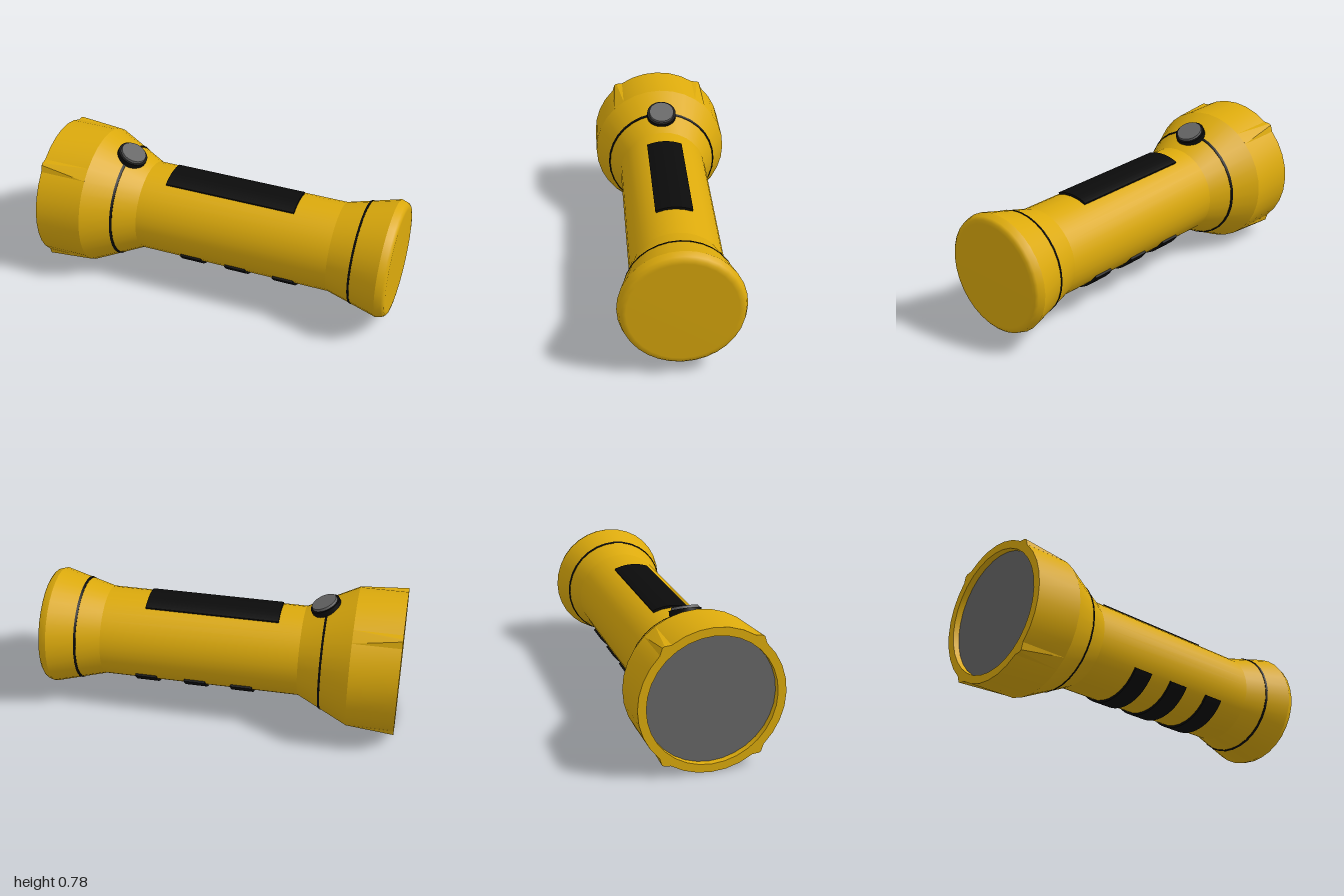
import * as THREE from 'three';
import { toCreasedNormals } from 'three/addons/utils/BufferGeometryUtils.js';
import { ConvexGeometry } from 'three/addons/geometries/ConvexGeometry.js';

const AXIS_Y = 0.39;
const SIDES = 32;
const yellow = new THREE.MeshStandardMaterial({ color: 0xdcaa0c });
const black = new THREE.MeshStandardMaterial({ color: 0x0b0b0b });
const grey = new THREE.MeshStandardMaterial({ color: 0x666666 });

// Revolves [x, radius] pairs around the long axis
function turned(profile) {
  const geo = new THREE.LatheGeometry(profile.map(([x, r]) => new THREE.Vector2(r, x)), SIDES);
  return geo.rotateZ(-Math.PI / 2);
}

// Curved pad hugging the barrel, centred on an angle in the cross-section
function gripPad(x0, x1, centre, half) {
  const shape = new THREE.Shape();
  shape.absarc(0, 0, 0.264, centre - half, centre + half, false);
  shape.absarc(0, 0, 0.235, centre + half, centre - half, true);
  const geo = new THREE.ExtrudeGeometry(shape, { depth: x1 - x0, bevelEnabled: false, curveSegments: 14 });
  return toCreasedNormals(geo.rotateY(Math.PI / 2).translate(x0, 0, 0), 0.5);
}

export function createModel() {
  const model = new THREE.Group();
  model.name = 'flashlight';
  const torch = new THREE.Group();
  torch.name = 'torch';
  torch.position.y = AXIS_Y;
  model.add(torch);

  const add = (name, geo, mat, parent = torch) => {
    const mesh = new THREE.Mesh(geo, mat);
    mesh.name = name;
    parent.add(mesh);
    return mesh;
  };

  // Head, tapered neck, barrel and flared tail
  add('body', toCreasedNormals(turned([
    [-0.95, 0.345], [-1, 0.345], [-1, 0.39], [-0.735, 0.39],
    [-0.45, 0.252], [0.66, 0.252], [0.95, 0.33],
  ]), 0.25), yellow);

  // Softly rounded end cap
  add('endCap', turned([[0.95, 0.33], [0.985, 0.319], [0.997, 0.305], [1, 0.285], [1, 0]]), yellow);

  // Recessed lens
  add('lens', new THREE.CircleGeometry(0.346, SIDES).rotateY(-Math.PI / 2).translate(-0.965, 0, 0), grey);

  // Four wedge-shaped lugs that grow towards the rim
  for (const sy of [1, -1]) {
    for (const sz of [1, -1]) {
      const points = [
        [-1, 0.324, 0.215], [-1, 0.321, 0.252], [-1, 0.314, 0.264], [-1, 0.276, 0.276], [-1, 0.28, 0.22],
        [-0.735, 0.324, 0.217], [-0.735, 0.276, 0.276], [-0.735, 0.28, 0.22],
      ].map(([x, y, z]) => new THREE.Vector3(x, y * sy, z * sz));
      add('rimLug', toCreasedNormals(new ConvexGeometry(points), 0.3), yellow);
    }
  }

  // Thin seam bands
  add('headSeam', toCreasedNormals(turned([
    [-0.582, 0.305], [-0.582, 0.319], [-0.57, 0.313], [-0.57, 0.3],
  ]), 0.5), black);
  add('tailSeam', toCreasedNormals(turned([
    [0.789, 0.28], [0.789, 0.289], [0.801, 0.293], [0.801, 0.28],
  ]), 0.5), black);

  // Top grip and three finger grips underneath
  add('topGrip', gripPad(-0.32, 0.425, Math.PI / 2, 0.39), black);
  for (const x of [-0.195, 0.07, 0.35]) {
    add('fingerGrip', gripPad(x, x + 0.12, -Math.PI / 2, 1.0), black);
  }

  // Push button lying on the neck slope
  const button = new THREE.Group();
  button.name = 'button';
  button.position.set(-0.567, 0.309, 0);
  button.rotation.z = -Math.atan2(0.138, 0.285);
  torch.add(button);
  add('buttonBase', new THREE.CylinderGeometry(0.085, 0.085, 0.04, SIDES), black, button);
  add('buttonTop', new THREE.CylinderGeometry(0.071, 0.073, 0.016, SIDES).translate(0, 0.026, 0), grey, button);

  return model;
}
